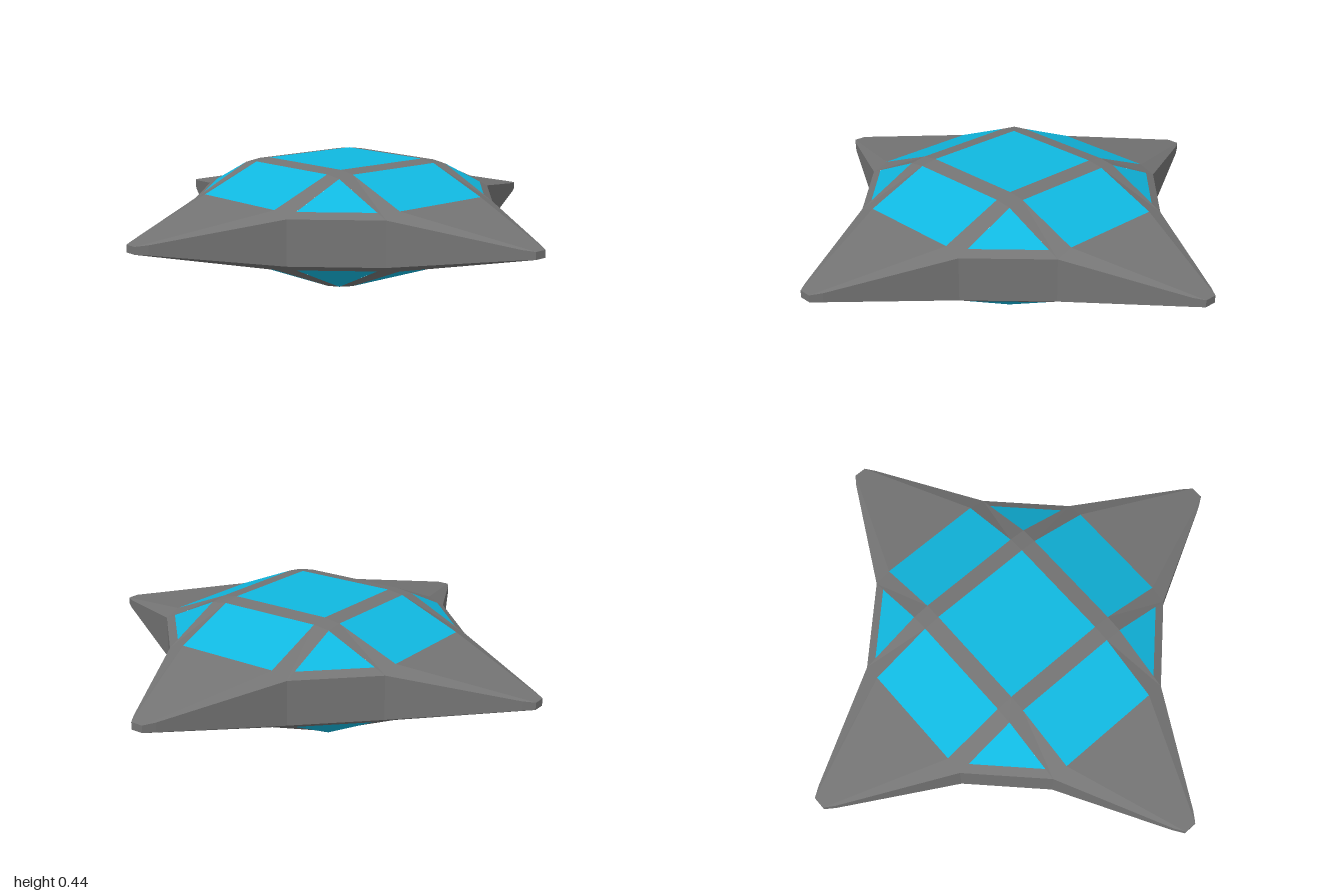
import * as THREE from 'three';

const frameMat = new THREE.MeshStandardMaterial({ color: 0x747474 });
frameMat.name = 'hull grey';
const glassMat = new THREE.MeshStandardMaterial({ color: 0x10b8e0 });
glassMat.name = 'panel blue';

const MID = 0.222; // height of the mirror plane

// Flat faces from corner loops; each triangle is wound to face away from the centre
function facets(name, polys, material) {
  const pos = [];
  for (const p of polys) {
    for (let i = 1; i < p.length - 1; i++) {
      const [a, b, c] = [p[0], p[i], p[i + 1]].map((q) => new THREE.Vector3(...q));
      const n = b.clone().sub(a).cross(c.clone().sub(a));
      const out = a.clone().add(b).add(c);
      for (const v of n.dot(out) > 0 ? [a, b, c] : [a, c, b]) pos.push(v.x, v.y, v.z);
    }
  }
  const g = new THREE.BufferGeometry();
  g.setAttribute('position', new THREE.Float32BufferAttribute(pos, 3));
  g.computeVertexNormals();
  const mesh = new THREE.Mesh(g, material);
  mesh.name = name;
  return mesh;
}

export function createModel() {
  const model = new THREE.Group();
  model.name = 'starBody';
  const body = new THREE.Group();
  body.name = 'body';
  body.position.y = MID;
  model.add(body);

  const a = 0.213, b = 0.28, c = 0.53, d = 0.485;
  const mx = ([x, y, z]) => [-x, y, z];
  const swap = ([x, y, z]) => [z, y, x];
  const floor = ([x, , z]) => [x, 0, z];

  for (const s of [1, -1]) {
    const side = s > 0 ? 'upper' : 'lower';
    const add = (name, polys, mat, turn = 0) => {
      // quarter turn about y, then flip for the lower half
      const place = ([x, y, z]) => {
        for (let i = 0; i < turn; i++) [x, z] = [z, -x];
        return [x, y * s, z];
      };
      body.add(facets(side + name, polys.map((p) => p.map(place)), mat));
    };

    const A = [a, 0.222, a], B = [a, 0.212, b], C = [b, 0.203, b];
    const D = [a, 0.11, c], E = [c - (c - b), 0.086, c];
    const F = [b, 0.107, d]; // outer end of the corner panel
    const T1 = [0.052, 0.018, 0.96], T2 = [0.025, 0.014, 1];

    add('CentrePanel', [[A, mx(A), [-a, 0.222, -a], [a, 0.222, -a]]], glassMat);

    for (let k = 0; k < 4; k++) {
      add('SidePanel', [[mx(B), B, D, mx(D)]], glassMat, k);
      add('CornerPanel', [[C, F, swap(F)]], glassMat, k);
      // bars between the panels
      add('Frame', [
        [mx(A), A, B, mx(B)],
        [A, B, C, swap(B)],
        [B, D, E, C],
        [swap(B), C, swap(E), swap(D)],
        [F, E, swap(E), swap(F)],
      ], frameMat, k);
      // notch wall between neighbouring points
      add('NotchWall', [[E, swap(E), floor(swap(E)), floor(E)]], frameMat, k);
      // tapering point with a blunt tip
      const half = [[D, E, T1, T2], [E, T1, floor(T1), floor(E)], [T1, T2, floor(T2), floor(T1)]];
      add('Point', [
        [mx(D), D, T2, mx(T2)],
        [mx(T2), T2, floor(T2), mx(floor(T2))],
        ...half,
        ...half.map((p) => p.map(mx)),
      ], frameMat, k);
    }
  }
  return model;
}
